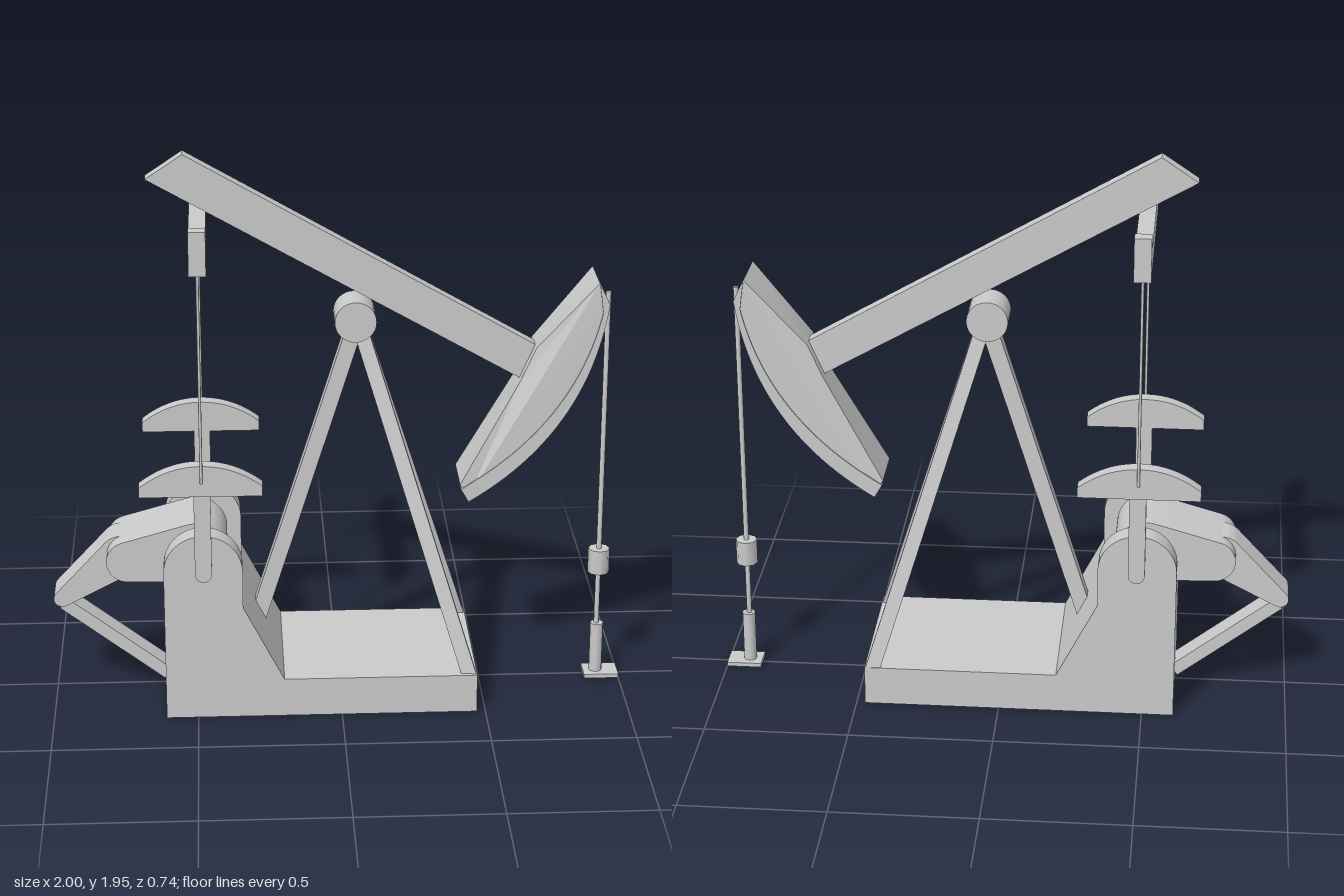
import * as THREE from 'three';
import { toCreasedNormals } from 'three/addons/utils/BufferGeometryUtils.js';

const material = new THREE.MeshStandardMaterial({ color: 0xcccccc });
const V = (x, y, z = 0) => new THREE.Vector3(x, y, z);

export function createModel() {
  const model = new THREE.Group();

  const add = (name, geometry, x = 0, y = 0, z = 0) => {
    const mesh = new THREE.Mesh(geometry, material);
    mesh.name = name;
    mesh.position.set(x, y, z);
    model.add(mesh);
    return mesh;
  };
  // Box from opposite corners
  const box = (name, x0, x1, y0, y1, z0, z1) =>
    add(name, new THREE.BoxGeometry(x1 - x0, y1 - y0, z1 - z0),
      (x0 + x1) / 2, (y0 + y1) / 2, (z0 + z1) / 2);
  // Side profile extruded from z0 to z1
  const extrude = (shape, z0, z1) => {
    const g = new THREE.ExtrudeGeometry(shape, { depth: z1 - z0, bevelEnabled: false, curveSegments: 24 });
    return toCreasedNormals(g.translate(0, 0, z0), 0.5);
  };
  const polygon = (pts) => new THREE.Shape(pts.map(([x, y]) => new THREE.Vector2(x, y)));
  // Rectangular bar between two points, its depth kept towards z
  const bar = (name, a, b, width, depth) => {
    const mid = a.clone().add(b).multiplyScalar(0.5);
    const mesh = add(name, new THREE.BoxGeometry(width, a.distanceTo(b), depth), mid.x, mid.y, mid.z);
    const yAxis = b.clone().sub(a).normalize();
    const xAxis = yAxis.clone().cross(V(0, 0, 1)).normalize();
    const zAxis = xAxis.clone().cross(yAxis);
    mesh.quaternion.setFromRotationMatrix(new THREE.Matrix4().makeBasis(xAxis, yAxis, zAxis));
    return mesh;
  };
  // Outline wrapped around two circles (first one at the left)
  const wrapped = (x0, y0, r0, x1, y1, r1) => {
    const angle = Math.atan2(y1 - y0, x1 - x0);
    const spread = Math.acos((r0 - r1) / Math.hypot(x1 - x0, y1 - y0));
    const s = new THREE.Shape();
    s.absarc(x0, y0, r0, angle + spread, angle - spread + Math.PI * 2, false);
    s.absarc(x1, y1, r1, angle - spread, angle + spread, false);
    return s;
  };

  // Base: hollow skirt, deck and raised rear block
  const zMin = -0.27, zMax = 0.28;
  box('baseFrontWall', 0.46, 0.47, 0, 0.14, zMin, zMax);
  box('baseRearWall', -0.61, -0.6, 0, 0.14, zMin, zMax);
  box('baseRightWall', -0.6, 0.46, 0, 0.14, zMin, zMin + 0.01);
  box('baseLeftWall', -0.6, 0.46, 0, 0.14, zMax - 0.01, zMax);
  box('baseDeck', -0.6, 0.46, 0.13, 0.14, zMin + 0.01, zMax - 0.01);
  add('rearBlock', extrude(polygon([[-0.61, 0.14], [-0.2, 0.14], [-0.34, 0.415], [-0.61, 0.415]]), zMin, zMax));

  // Arched bearing cheeks
  const cheek = new THREE.Shape();
  cheek.moveTo(-0.61, 0.415);
  cheek.lineTo(-0.34, 0.415);
  cheek.absarc(-0.475, 0.55, 0.135, 0, Math.PI, false);
  cheek.closePath();
  add('leftCheek', extrude(cheek, 0.2, zMax));
  add('rightCheek', extrude(cheek, zMin, -0.19));

  // Gearbox, drive arm and its brace
  add('gearbox', extrude(wrapped(-0.735, 0.525, 0.075, -0.5, 0.555, 0.11), -0.115, 0.125));
  add('driveArm', extrude(wrapped(-0.97, 0.36, 0.03, -0.76, 0.52, 0.075), -0.06, 0.06));
  bar('driveBrace', V(-0.965, 0.335), V(-0.605, 0.055), 0.045, 0.09);

  // Cranks, counterweights, pull rods and equalizer tabs on both sides
  const weight = new THREE.Shape();
  weight.moveTo(-0.685, 0.85);
  weight.lineTo(-0.27, 0.85);
  weight.lineTo(-0.27, 0.885);
  weight.quadraticCurveTo(-0.365, 0.96, -0.4775, 0.96);
  weight.quadraticCurveTo(-0.59, 0.96, -0.685, 0.885);
  weight.closePath();
  const crank = new THREE.Shape();
  crank.moveTo(-0.445, 0.86);
  crank.lineTo(-0.502, 0.86);
  crank.absarc(-0.4735, 0.558, 0.0285, Math.PI, Math.PI * 2, false);
  crank.closePath();
  for (const s of [1, -1]) {
    const side = s > 0 ? 'left' : 'right';
    const span = (a, b) => (s > 0 ? [a, b] : [-b, -a]);
    add(side + 'Counterweight', extrude(weight, ...span(0.275, 0.325)));
    add(side + 'Crank', extrude(crank, ...span(0.275, 0.315)));
    add(side + 'PullRod', new THREE.CylinderGeometry(0.005, 0.005, 0.76, 8), -0.475, 1.28, s * 0.33);
    box(side + 'EqualizerTab', -0.503, -0.446, 1.73, 1.79, ...span(0.32, 0.37));
  }
  box('equalizerBar', -0.503, -0.446, 1.64, 1.73, -0.37, 0.37);

  // Three-legged tower and saddle bearing
  for (const s of [1, -1])
    bar(s > 0 ? 'frontLeftLeg' : 'frontRightLeg', V(0.065, 1.36, s * 0.02), V(0.445, 0.125, s * 0.25), 0.05, 0.04);
  bar('rearLeg', V(0.055, 1.34), V(-0.285, 0.26), 0.055, 0.05);
  const pivot = new THREE.CylinderGeometry(0.071, 0.071, 0.13, 32).rotateX(Math.PI / 2);
  add('saddleBearing', pivot, 0.055, 1.368);

  // Walking beam
  add('walkingBeam', extrude(polygon([[-0.645, 1.868], [0.62, 1.146], [0.72, 1.238], [-0.52, 1.952]]), -0.027, 0.027));

  // Beam head: body narrowing towards its back, with a wider curved rim
  const head = new THREE.Shape();
  head.moveTo(0.875, 1.505);
  head.lineTo(0.67, 1.265);
  head.lineTo(0.62, 1.15);
  head.lineTo(0.415, 0.78);
  head.lineTo(0.445, 0.735);
  head.quadraticCurveTo(0.83, 0.985, 0.898, 1.43);
  head.closePath();
  const headGeometry = new THREE.ExtrudeGeometry(head, { depth: 0.19, bevelEnabled: false, curveSegments: 24 });
  headGeometry.translate(0, 0, -0.095);
  const p = headGeometry.attributes.position;
  for (let i = 0; i < p.count; i++) {
    const atBack = [0.67, 0.62].some((x) => Math.abs(p.getX(i) - x) < 0.001 && p.getY(i) > 1.1);
    if (atBack) p.setZ(i, p.getZ(i) * 0.68);
  }
  add('beamHead', toCreasedNormals(headGeometry, 0.5));
  const rim = new THREE.Shape();
  rim.moveTo(0.875, 1.508);
  rim.lineTo(0.89, 1.4);
  rim.quadraticCurveTo(0.805, 1.0, 0.418, 0.765);
  rim.lineTo(0.445, 0.718);
  rim.quadraticCurveTo(0.848, 0.965, 0.912, 1.43);
  rim.closePath();
  add('headRim', extrude(rim, -0.1, 0.1));

  // Polished rod, clamp and wellhead
  add('polishedRod', new THREE.CylinderGeometry(0.009, 0.009, 1.43, 12), 0.92, 0.73);
  add('rodClamp', new THREE.CylinderGeometry(0.038, 0.038, 0.09, 8).toNonIndexed(), 0.92, 0.445);
  add('wellheadPipe', new THREE.CylinderGeometry(0.023, 0.023, 0.185, 12), 0.922, 0.1075);
  box('wellheadPlate', 0.877, 1, 0, 0.015, -0.045, 0.045);

  return model;
}
